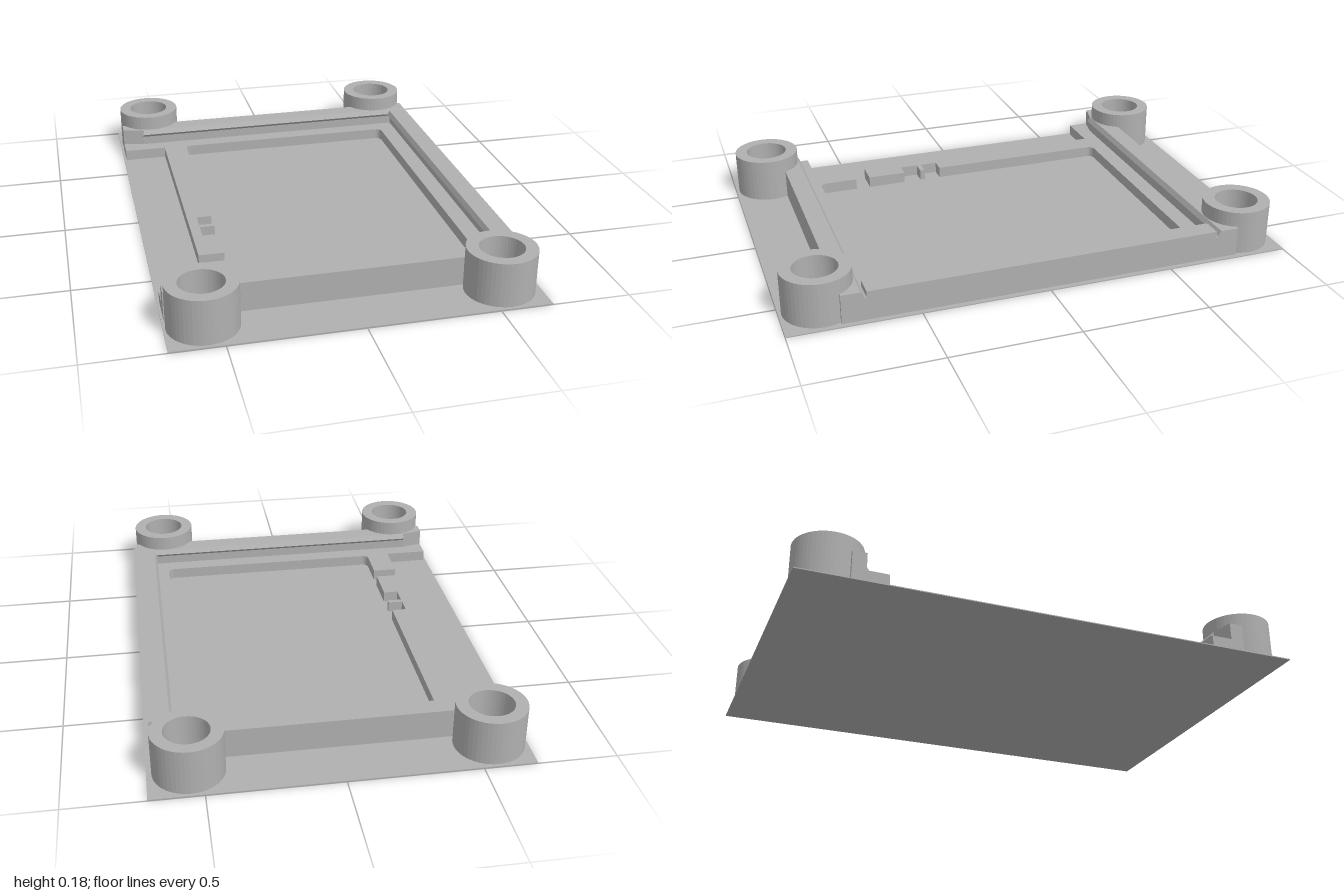
import * as THREE from 'three';

const PLATE = 0.004;   // base sheet thickness
const LEDGE = 0.05;    // support ledge height
const WALL = 0.12;     // rail height
const POST = 0.18;     // corner post height
const POST_X = [-0.558, 0.548];
const POST_Z = 0.855;

// Extrude a plan outline of [x, z] points upward from the ground
function plan(points, height) {
  const shape = new THREE.Shape(points.map(([x, z]) => new THREE.Vector2(x, -z)));
  return new THREE.ExtrudeGeometry(shape, { depth: height, bevelEnabled: false }).rotateX(-Math.PI / 2);
}

// Extrude an upright profile by a length along z
function bar(points, length) {
  const shape = new THREE.Shape(points.map(([a, b]) => new THREE.Vector2(a, b)));
  return new THREE.ExtrudeGeometry(shape, { depth: length, bevelEnabled: false });
}

// Points along a circular arc in plan
function arc(cx, cz, r, a0, a1, n) {
  return Array.from({ length: n + 1 }, (_, i) => {
    const a = a0 + (a1 - a0) * i / n;
    return [cx + r * Math.cos(a), cz + r * Math.sin(a)];
  });
}

export function createModel() {
  const model = new THREE.Group();
  model.name = 'mountingTray';
  const grey = new THREE.MeshStandardMaterial({ color: 0xb0b0b0, flatShading: true });
  grey.name = 'grey plastic';

  const add = (name, geometry, x = 0, y = 0, z = 0) => {
    const mesh = new THREE.Mesh(geometry, grey);
    mesh.name = name;
    mesh.position.set(x, y, z);
    model.add(mesh);
    return mesh;
  };

  add('basePlate', new THREE.BoxGeometry(1.4, PLATE, 2), 0, PLATE / 2, 0);

  // Support ledge: a frame with rounded inner corners, a gap and two notches
  const q = Math.PI / 2, r = 0.025;
  add('supportLedge', plan([
    [-0.51, 0.49], [-0.51, 0.655], [-0.69, 0.655], [-0.69, 0.75],
    [0.64, 0.75], [0.64, -0.75], [-0.69, -0.75], [-0.69, -0.655],
    [-0.51, -0.655], [-0.51, 0.43], [-0.41, 0.43],
    [-0.41, 0.27], [-0.47, 0.27], [-0.47, 0.195], [-0.41, 0.195],
    [-0.41, 0.175], [-0.47, 0.175], [-0.47, 0.105], [-0.41, 0.105],
    ...arc(-0.41 + r, -0.65 + r, r, 2 * q, 3 * q, 5),
    ...arc(0.54 - r, -0.65 + r, r, 3 * q, 4 * q, 5),
    ...arc(0.54 - r, 0.65 - r, r, 0, q, 5),
    ...arc(-0.41 + r, 0.65 - r, r, q, 2 * q, 5),
    [-0.41, 0.49],
  ], LEDGE));

  // Side rail with its snap lip
  add('sideRail', new THREE.BoxGeometry(0.07, WALL, 1.4), 0.645, WALL / 2, 0);
  add('sideLip', bar([[0.612, 0.085], [0.59, 0.1], [0.601, WALL], [0.612, WALL]], 1.4), 0, 0, -0.7);

  for (const s of [1, -1]) {
    const end = s > 0 ? 'front' : 'back';

    // End rail: tapered entry on the open side, cut clear of the post bores
    const bite = Math.acos((POST_Z - 0.795) / 0.1);
    const outer = POST_X.flatMap(x => arc(x, POST_Z, 0.1, -q - bite, -q + bite, 12));
    add(end + 'Rail', plan([
      [0.68, 0.72], [-0.6, 0.72], [-0.69, 0.74], [-0.69, 0.795],
      ...outer, [0.68, 0.795],
    ].map(([x, z]) => [x, s * z]), WALL));

    // Snap lip along the end rail
    const lip = bar([[0.722, 0.085], [0.707, 0.1], [0.72, WALL], [0.722, WALL]]
      .map(([z, y]) => [-s * z, y]), 1.28).rotateY(q);
    add(end + 'Lip', lip, -0.6, 0, 0);

    // Low bridge beneath the slit between the rails
    add(end + 'Bridge', new THREE.BoxGeometry(0.07, 0.095, 0.03), 0.645, 0.0475, s * 0.71);

    // Hollow corner posts
    for (const x of POST_X) {
      const ring = new THREE.LatheGeometry([
        [0.085, 0], [0.133, 0], [0.133, POST], [0.085, POST], [0.085, 0],
      ].map(([a, b]) => new THREE.Vector2(a, b)), 48);
      add(end + (x > 0 ? 'Left' : 'Right') + 'Post', ring, x, 0, s * POST_Z);
    }
  }
  return model;
}
